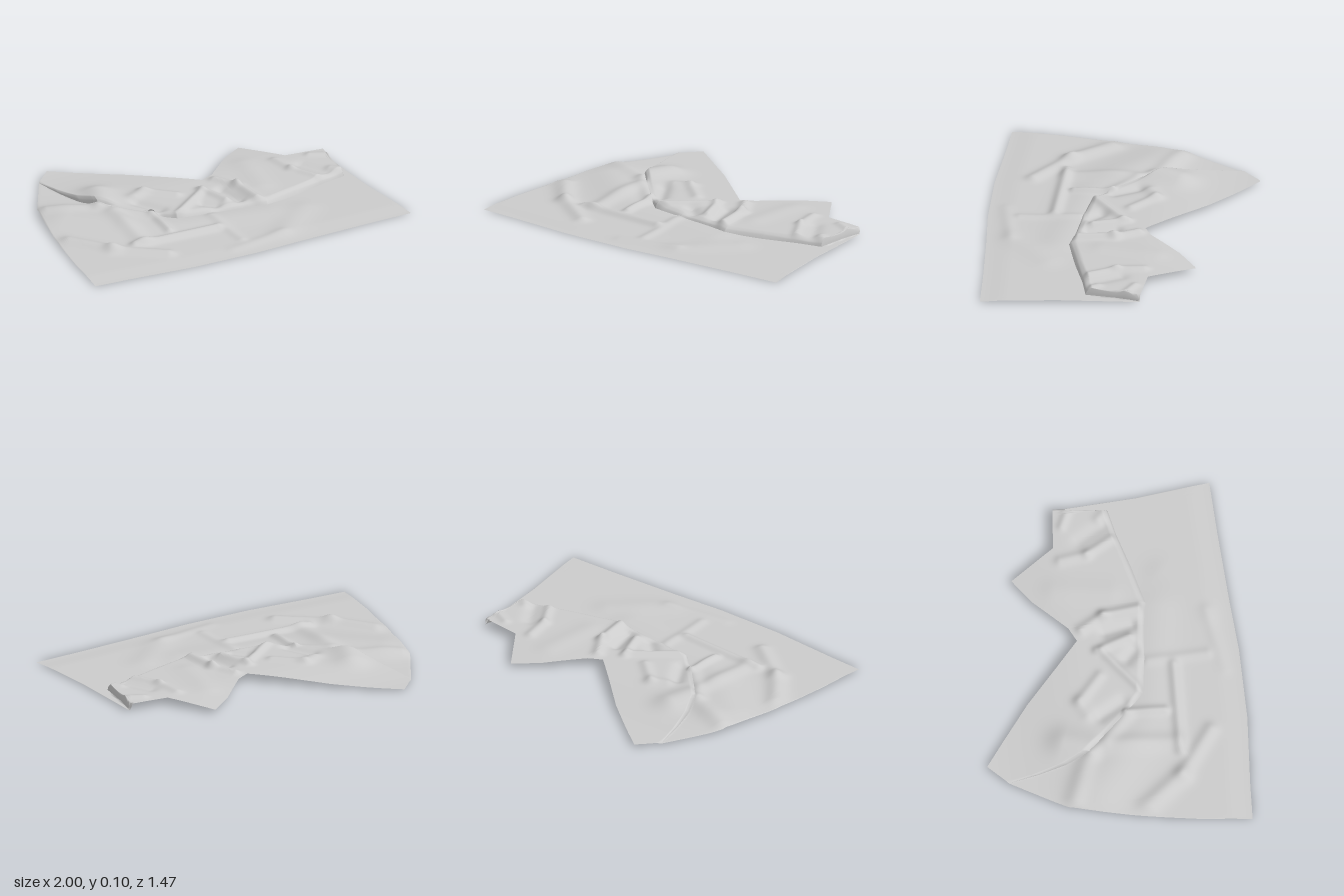
import * as THREE from 'three';

// Outlines as z over x: rear hem, front hem, and the front edge of the folded-over flap
const REAR = [[-1, 0.68], [-0.97, 0.4], [-0.92, 0.1], [-0.87, -0.13], [-0.82, -0.32], [-0.64, -0.63], [-0.53, -0.74],
  [-0.4, -0.64], [-0.2, -0.48], [0, -0.29], [0.14, -0.16], [0.22, -0.2], [0.4, -0.38], [0.54, -0.48], [0.7, -0.23],
  [0.935, -0.205], [0.955, 0.25], [1, 0.67]];
const FRONT = [[-1, 0.69], [-0.8, 0.7], [-0.4, 0.73], [0, 0.73], [0.3, 0.71], [0.7, 0.69], [1, 0.68]];
const EDGE = [[-0.64, -0.63], [-0.61, -0.46], [-0.57, -0.3], [-0.52, -0.17], [-0.42, -0.06], [-0.3, 0.07], [-0.2, 0.17],
  [0, 0.2], [0.2, 0.22], [0.33, 0.245], [0.55, 0.19], [0.75, 0.13], [0.89, 0.1], [0.91, -0.08], [0.935, -0.2]];

// Creases: x1, z1, x2, z2, height, width
const SHEET_FOLDS = [
  [-0.72, -0.15, -0.5, 0.05, 0.03, 0.16], [-0.78, -0.28, -0.52, -0.17, 0.02, 0.05], [-0.86, 0.12, -0.7, 0.33, 0.025, 0.05],
  [-0.7, 0.33, -0.45, 0.52, 0.02, 0.04], [-0.56, 0.34, -0.05, 0.36, 0.022, 0.03], [-0.48, -0.05, -0.5, 0.32, 0.018, 0.05],
  [-0.3, 0.06, -0.31, 0.28, 0.02, 0.025], [-0.01, 0.22, 0, 0.55, 0.01, 0.03], [-0.1, 0.65, 0.25, 0.58, 0.008, 0.04],
  [0.25, 0.58, 0.5, 0.35, 0.01, 0.08], [-0.3, 0.2, 0.3, 0.3, 0.014, 0.12], [-0.52, -0.15, -0.32, 0.06, 0.02, 0.04],
];
const FLAP_FOLDS = [
  [-0.5, -0.17, -0.45, -0.3, 0.035, 0.09], [-0.3, -0.15, -0.22, -0.19, 0.014, 0.04], [-0.22, -0.19, -0.08, -0.06, 0.014, 0.03],
  [-0.32, -0.08, -0.25, 0.05, -0.02, 0.04], [-0.2, 0.17, 0.06, -0.03, 0.018, 0.025], [0.07, -0.06, 0.13, 0.13, 0.018, 0.025],
  [0.0, 0.1, 0.05, 0.15, -0.02, 0.04], [0.2, -0.13, 0.27, 0, 0.02, 0.03], [0.27, 0, 0.29, 0.2, 0.025, 0.03],
  [0.17, 0.0, 0.2, 0.15, -0.02, 0.035], [0.62, -0.2, 0.64, -0.05, 0.014, 0.03], [0.64, -0.05, 0.72, 0.1, 0.014, 0.025],
  [0.72, -0.08, 0.8, 0.06, -0.012, 0.04], [0.82, -0.17, 0.92, -0.12, 0.012, 0.025], [0.45, -0.25, 0.4, 0.05, 0.008, 0.07],
  [0.84, 0.04, 0.88, 0.08, 0.012, 0.03],
];

const { clamp, lerp, smoothstep } = THREE.MathUtils;

function along(points, x) {
  for (let i = 1; i < points.length; i++) {
    const [x0, z0] = points[i - 1], [x1, z1] = points[i];
    if (x <= x1) return lerp(z0, z1, (x - x0) / (x1 - x0));
  }
  return points[points.length - 1][1];
}

function creases(folds, x, z) {
  let sum = 0;
  for (const [x1, z1, x2, z2, height, width] of folds) {
    const dx = x2 - x1, dz = z2 - z1;
    const t = clamp(((x - x1) * dx + (z - z1) * dz) / (dx * dx + dz * dz), 0, 1);
    const d = Math.hypot(x - x1 - t * dx, z - z1 - t * dz) / width;
    sum += height * Math.exp(-d * d);
  }
  return sum;
}

// Distance behind the flap edge, negative where there is no flap
function behindEdge(x, z) {
  return x < EDGE[0][0] || x > 0.935 ? -1 : along(EDGE, x) - z;
}

// Lower cloth before it rises under the flap
function groundHeight(x, z) {
  const rim = smoothstep(Math.min(along(FRONT, x) - z, z - along(REAR, x) + 0.12), 0, 0.15);
  return 0.004 + rim * (0.008 + creases(SHEET_FOLDS, x, z));
}

function puffedHeight(x, z) {
  const level = 0.022 + 0.033 * smoothstep(z, -0.7, -0.15);
  return Math.max(level + creases(FLAP_FOLDS, x, z), 0.016);
}

// The flap curls down to the lower cloth at its front edge
function flapHeight(x, z) {
  const lip = Math.sqrt(clamp(behindEdge(x, z) / 0.035, 0, 1));
  const low = groundHeight(x, z) + 0.006;
  return lerp(low, Math.max(puffedHeight(x, z), low), lip);
}

// The lower cloth follows the flap closely once it is tucked beneath it
function sheetHeight(x, z) {
  const d = behindEdge(x, z);
  const ground = groundHeight(x, z);
  if (d <= 0) return ground;
  const top = flapHeight(x, z) - 0.006;
  return Math.min(top, lerp(ground, top, smoothstep(d, 0.03, 0.13)));
}

// Cloth surface between two outlines, in columns along x
function cloth(name, rear, front, x0, x1, columns, rows, height) {
  const xs = [...rear, ...front].map((p) => p[0]).filter((x) => x >= x0 && x <= x1);
  for (let i = 0; i <= columns; i++) xs.push(lerp(x0, x1, i / columns));
  xs.sort((a, b) => a - b);
  const cols = xs.filter((x, i) => i === 0 || x - xs[i - 1] > 1e-5);
  const positions = [], index = [];
  cols.forEach((x, i) => {
    const zr = along(rear, x), zf = along(front, x);
    for (let j = 0; j <= rows; j++) {
      const t = j / rows;
      const z = lerp(zr, zf, t);
      positions.push(x, height(x, z), z);
      if (i && j) {
        const d = i * (rows + 1) + j, c = d - 1, b = d - rows - 1, a = b - 1;
        index.push(a, b, c, b, d, c);
      }
    }
  });
  const geometry = new THREE.BufferGeometry();
  geometry.setAttribute('position', new THREE.Float32BufferAttribute(positions, 3));
  geometry.setIndex(index);
  geometry.computeVertexNormals();
  const material = new THREE.MeshStandardMaterial({ color: 0xcccccc, side: THREE.DoubleSide });
  const mesh = new THREE.Mesh(geometry, material);
  mesh.name = name;
  return mesh;
}

export function createModel() {
  const group = new THREE.Group();
  group.name = 'crumpledCloth';
  group.add(cloth('lowerSheet', REAR, FRONT, -1, 1, 200, 110, sheetHeight));
  group.add(cloth('foldedFlap', REAR, EDGE, -0.64, 0.935, 170, 70, flapHeight));
  // Rest the cloth on the ground
  const box = new THREE.Box3().setFromObject(group);
  group.children.forEach((mesh) => mesh.geometry.translate(0, -box.min.y, 0));
  return group;
}
